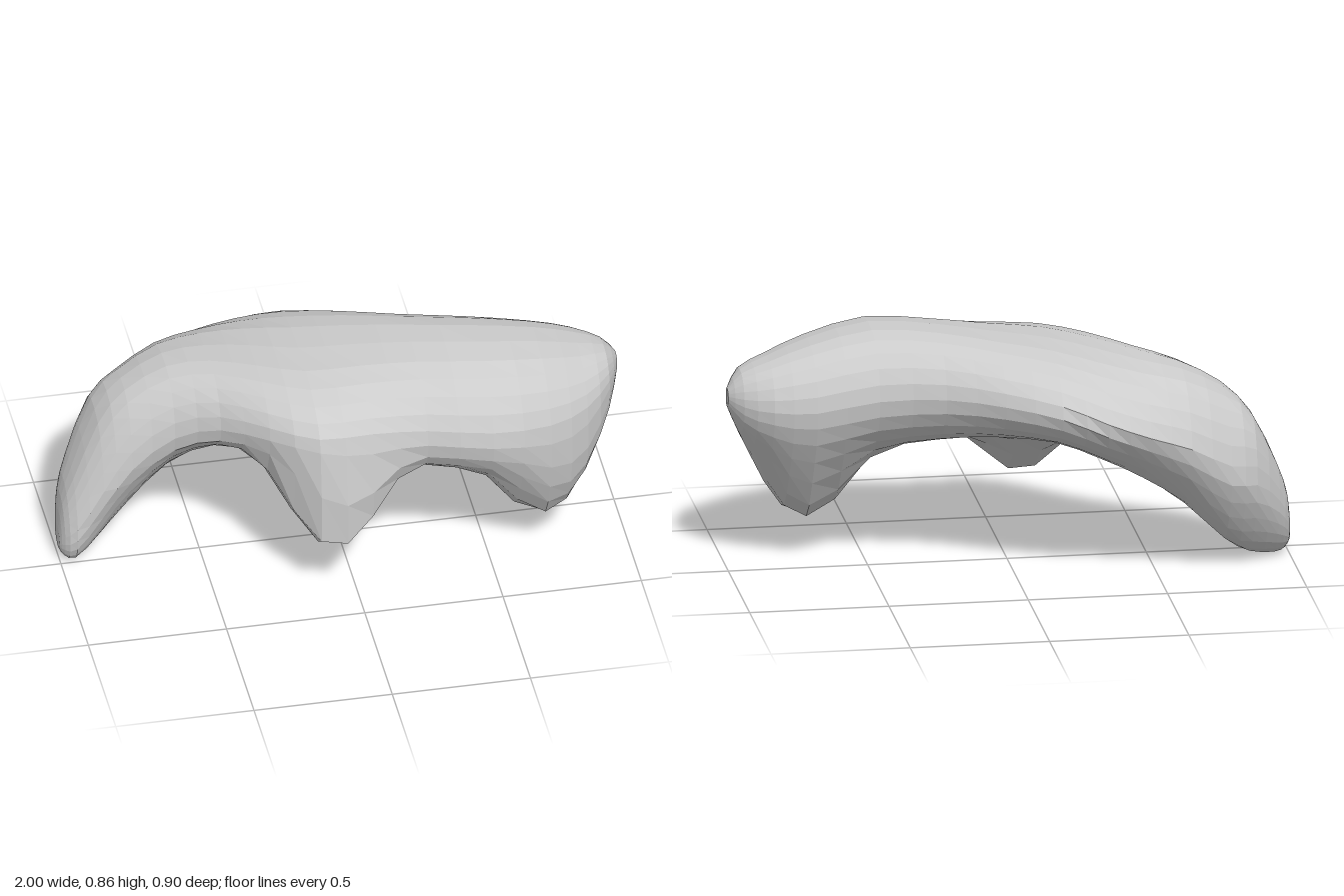
import * as THREE from 'three';

// Cross-sections from tail tip to nose: [x, bottom, top, back, front, lean]
const SECTIONS = [
  [-1.0, 0.04, 0.12, -0.11, -0.02, -0.3],
  [-0.985, 0.015, 0.24, -0.17, 0.01, -0.35],
  [-0.945, 0.0, 0.36, -0.23, 0.04, -0.35],
  [-0.85, 0.03, 0.56, -0.33, 0.045, -0.15],
  [-0.75, 0.1, 0.66, -0.39, 0.045, 0.1],
  [-0.6, 0.25, 0.74, -0.445, 0.07, 0.2],
  [-0.45, 0.35, 0.775, -0.47, 0.15, 0.25],
  [-0.3, 0.42, 0.8, -0.47, 0.29, 0.2],
  [-0.14, 0.47, 0.82, -0.42, 0.4, 0.05],
  [0.05, 0.47, 0.84, -0.33, 0.395, -0.05],
  [0.25, 0.44, 0.86, -0.23, 0.4, -0.1],
  [0.48, 0.4, 0.865, -0.168, 0.44, -0.1],
  [0.7, 0.37, 0.82, -0.15, 0.38, -0.1],
  [0.85, 0.43, 0.77, -0.12, 0.29, -0.1],
  [0.95, 0.52, 0.73, -0.06, 0.18, 0],
  [1.0, 0.61, 0.67, 0, 0.06, 0],
];

// Two hanging lobes drawn out of the underside
const LOBES = [
  { x: -0.1, z: 0.33, width: 0.21, depth: 0.25, drop: 0.31, push: 0.09 },
  { x: 0.71, z: 0.17, width: 0.2, depth: 0.2, drop: 0.23, push: 0.02 },
];

const RINGS = 2 * (SECTIONS.length - 1);
const SIDES = 24;
const { smoothstep } = THREE.MathUtils;

// Pull the lower surface down towards each lobe tip
function pullLobes(p, s) {
  const under = smoothstep(-s, -0.1, 0.55);
  let drop = 0, push = 0;
  for (const l of LOBES) {
    const r = Math.hypot((p.x - l.x) / l.width, (p.z - l.z) / l.depth);
    const w = under * Math.exp(-Math.pow(r, 2.6));
    drop += w * l.drop;
    push += w * l.push;
  }
  p.y -= drop;
  p.z += push;
  return p;
}

function bodyGeometry() {
  const curve = (a, b, c) => new THREE.CatmullRomCurve3(
    SECTIONS.map((s) => new THREE.Vector3(s[a], s[b], s[c])), false, 'catmullrom', 0.5);
  const heights = curve(0, 1, 2);
  const depths = curve(3, 4, 5);
  const pos = [], index = [];

  // Leaning oval rings: full shoulders above, a narrow keel under the arm
  for (let i = 0; i <= RINGS; i++) {
    const { x, y: bottom, z: top } = heights.getPoint(i / RINGS);
    const { x: back, y: front, z: lean } = depths.getPoint(i / RINGS);
    const keel = 0.42 * smoothstep(-x, 0.05, 0.5) * smoothstep(x, -1, -0.8);
    for (let j = 0; j < SIDES; j++) {
      const t = (j / SIDES) * Math.PI * 2;
      const s = Math.sin(t + lean), c = Math.cos(t);
      const across = Math.sign(c) * Math.pow(Math.abs(c), 1 - 0.2 * Math.max(s, 0))
        * (1 - keel * Math.max(-s, 0));
      const p = new THREE.Vector3(x,
        (top + bottom) / 2 + ((top - bottom) / 2) * s,
        (front + back) / 2 + ((front - back) / 2) * across);
      pos.push(...pullLobes(p, s).toArray());
    }
  }
  for (let i = 0; i < RINGS; i++) {
    for (let j = 0; j < SIDES; j++) {
      const k = (j + 1) % SIDES;
      const a = i * SIDES + j, b = a + SIDES;
      const c = i * SIDES + k, d = c + SIDES;
      index.push(a, b, c, b, d, c);
    }
  }

  // Tail and nose caps
  const tail = pos.length / 3, nose = tail + 1;
  for (const s of [SECTIONS[0], SECTIONS[SECTIONS.length - 1]]) {
    pos.push(s[0], (s[1] + s[2]) / 2, (s[3] + s[4]) / 2);
  }
  for (let j = 0; j < SIDES; j++) {
    const k = (j + 1) % SIDES, last = RINGS * SIDES;
    index.push(tail, j, k, nose, last + k, last + j);
  }

  const geo = new THREE.BufferGeometry();
  geo.setAttribute('position', new THREE.Float32BufferAttribute(pos, 3));
  geo.setIndex(index);
  geo.computeVertexNormals();
  return geo;
}

export function createModel() {
  const group = new THREE.Group();
  group.name = 'lobedForm';
  const body = new THREE.Mesh(bodyGeometry(),
    new THREE.MeshStandardMaterial({ color: 0xcccccc, flatShading: true }));
  body.name = 'curvedBodyWithLobes';
  group.add(body);
  return group;
}
